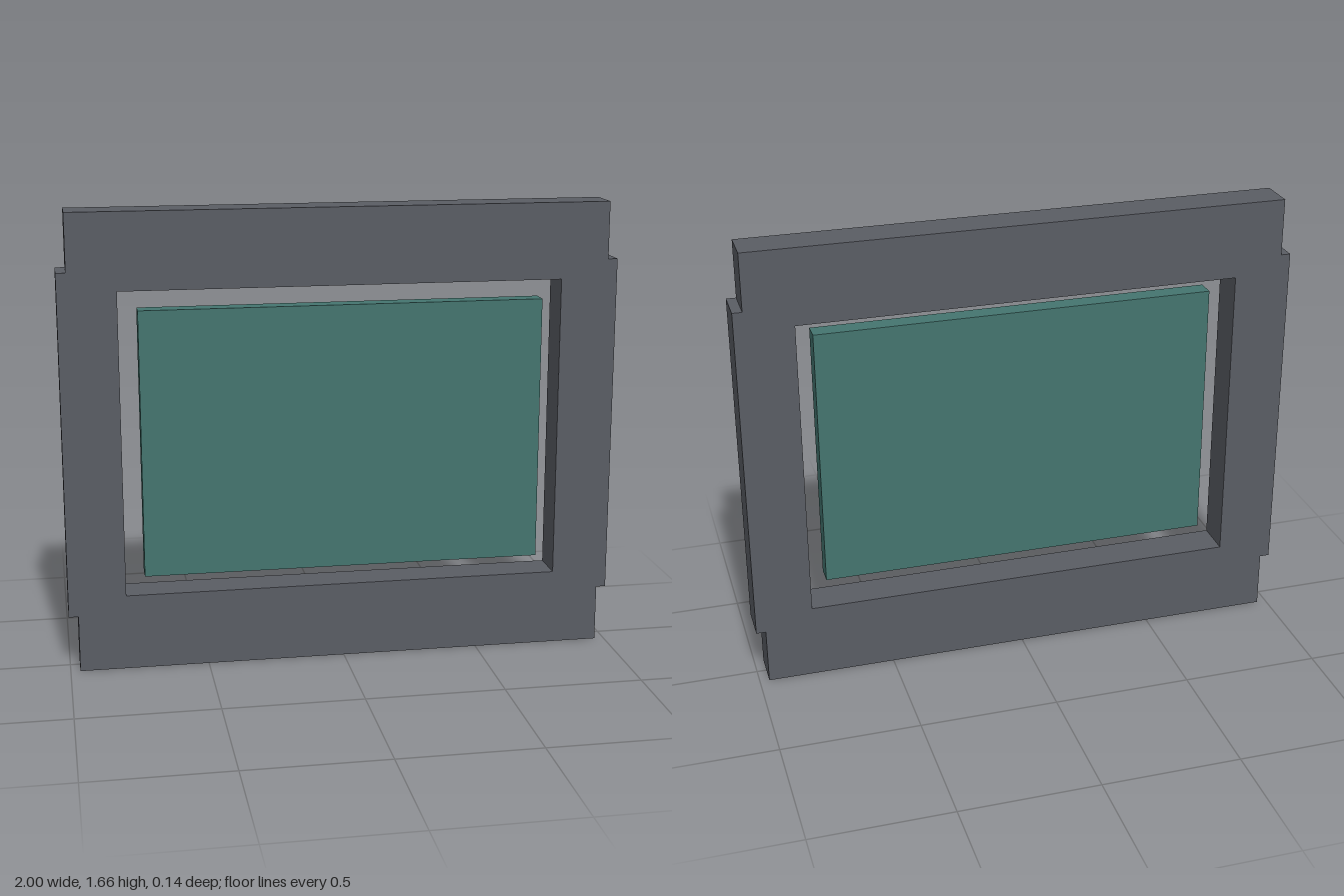
import * as THREE from 'three';

const U = 2 / 29; // layout unit: the frame is 29 units wide

export function createModel() {
  const model = new THREE.Group();
  model.name = 'framedPanel';

  const frameMaterial = new THREE.MeshStandardMaterial({ color: 0x5a5d64 });
  frameMaterial.name = 'dark grey';
  const panelMaterial = new THREE.MeshStandardMaterial({ color: 0x44756f });
  panelMaterial.name = 'teal';

  // Frame: notched corners outside, rectangular opening inside
  const toPoints = (corners) => corners.map(([x, y]) => new THREE.Vector2(x * U, y * U));
  const rightSide = [[14, 0], [14, 3], [14.5, 3], [14.5, 21], [14, 21], [14, 24]];
  const leftSide = rightSide.map(([x, y]) => [-x, y]).reverse();
  const outline = new THREE.Shape(toPoints([...rightSide, ...leftSide]));
  outline.holes.push(new THREE.Path(toPoints([[-11.5, 4], [-11.5, 20], [11.5, 20], [11.5, 4]])));

  const frameGeometry = new THREE.ExtrudeGeometry(outline, { depth: 2 * U, bevelEnabled: false });
  frameGeometry.translate(0, 0, -U);
  const frame = new THREE.Mesh(frameGeometry, frameMaterial);
  frame.name = 'frame';
  model.add(frame);

  // Panel: floats in the front half of the opening
  const panel = new THREE.Mesh(new THREE.BoxGeometry(21 * U, 14 * U, U), panelMaterial);
  panel.position.set(0, 12 * U, U / 2);
  panel.name = 'panel';
  model.add(panel);

  return model;
}
